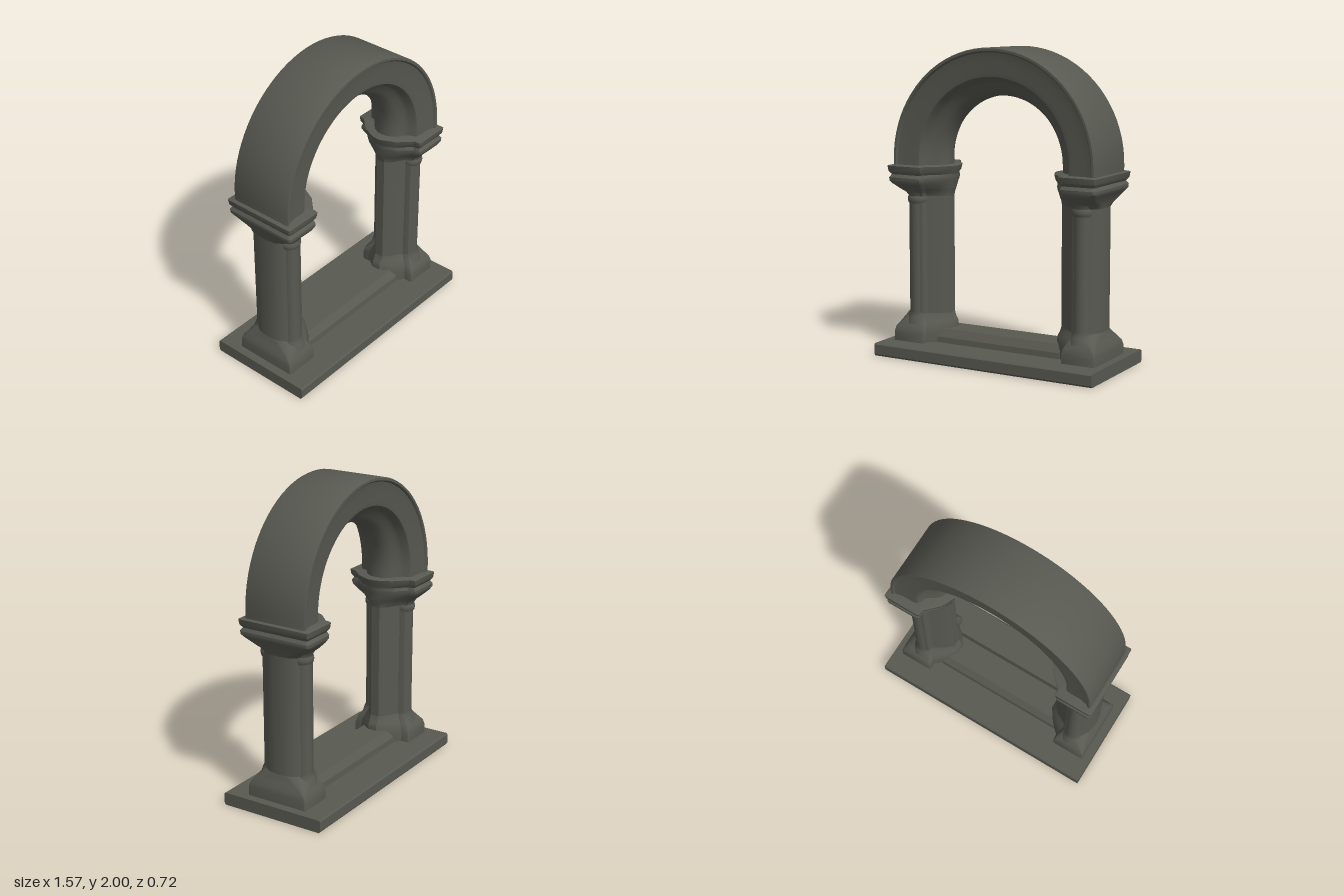
import * as THREE from 'three';
import { toCreasedNormals } from 'three/addons/utils/BufferGeometryUtils.js';

const stone = new THREE.MeshStandardMaterial({ color: 0x585951 });
stone.name = 'dark stone';

// Skin a stack of closed rings; each ring mirrors a half outline in z
function loft(rings, crease, capped) {
  const pos = [];
  const tri = (...p) => p.forEach((v) => pos.push(v.x, v.y, v.z));
  const n = rings[0].length;
  for (let i = 0; i < rings.length - 1; i++) {
    for (let j = 0; j < n; j++) {
      const k = (j + 1) % n;
      const a = rings[i][j], b = rings[i][k], c = rings[i + 1][j], d = rings[i + 1][k];
      tri(a, c, b);
      tri(b, c, d);
    }
  }
  if (capped) {
    const top = rings[rings.length - 1];
    for (let j = 0; j < n / 2 - 1; j++) {
      const p = top[j], q = top[j + 1], p2 = top[n - 1 - j], q2 = top[n - 2 - j];
      tri(p2, q2, p);
      tri(p, q2, q);
    }
  }
  const g = new THREE.BufferGeometry();
  g.setAttribute('position', new THREE.Float32BufferAttribute(pos, 3));
  return toCreasedNormals(g, crease);
}

const mirrorZ = (half) => [...half, ...half.slice().reverse().map(([x, z]) => [x, -z])];

// Pier plan: outer x, step x, inner x, wide z, z where the pointed jamb starts, corner rounding
function pierRing([y, xo, xm, xi, zw, zn, c]) {
  const half = [[xo, zw - c]];
  for (const t of [0.25, 0.5, 0.75, 1]) {
    const a = t * Math.PI / 2;
    half.push([xo - c + c * Math.cos(a), zw - c + c * Math.sin(a)]);
  }
  const k = Math.min(c, 0.035);
  half.push([xm + k, zw], [xm + 0.3 * k, zw - 0.3 * k], [xm, zw - k]);
  half.push([xm - 0.002, zn], [xi + 0.35 * (xm - xi), zn * 0.6], [xi, 0.03]);
  return mirrorZ(half).map(([x, z]) => new THREE.Vector3(x, y, z));
}

function mesh(name, geometry) {
  const m = new THREE.Mesh(geometry, stone);
  m.name = name;
  return m;
}

function createPier(name) {
  const pier = new THREE.Group();
  pier.name = name;

  // Plinth flaring in to the shaft
  pier.add(mesh('pierBase', loft([
    [0.08, 0.73, 0.50, 0.38, 0.215, 0.16, 0.01],
    [0.14, 0.73, 0.50, 0.38, 0.213, 0.16, 0.01],
    [0.175, 0.725, 0.505, 0.38, 0.205, 0.155, 0.02],
    [0.21, 0.71, 0.515, 0.385, 0.185, 0.14, 0.05],
    [0.235, 0.705, 0.525, 0.40, 0.175, 0.125, 0.09],
    [0.265, 0.70, 0.53, 0.41, 0.16, 0.115, 0.13],
  ].map(pierRing), 0.6, true)));

  // Shaft with broadly rounded outer corners and a pointed inner jamb
  pier.add(mesh('shaft', loft([
    [0.24, 0.70, 0.53, 0.41, 0.16, 0.115, 0.13],
    [1.08, 0.70, 0.53, 0.41, 0.16, 0.115, 0.13],
  ].map(pierRing), 0.6, false)));

  // Moulded capital
  pier.add(mesh('capital', loft([
    [1.035, 0.70, 0.53, 0.41, 0.16, 0.115, 0.13],
    [1.06, 0.705, 0.53, 0.405, 0.175, 0.13, 0.11],
    [1.085, 0.71, 0.52, 0.395, 0.205, 0.155, 0.07],
    [1.12, 0.725, 0.505, 0.39, 0.238, 0.185, 0.03],
    [1.14, 0.738, 0.50, 0.385, 0.248, 0.195, 0.02],
    [1.16, 0.738, 0.50, 0.38, 0.248, 0.2, 0.015],
    [1.18, 0.725, 0.505, 0.38, 0.234, 0.19, 0.015],
    [1.20, 0.74, 0.495, 0.37, 0.248, 0.205, 0.01],
    [1.235, 0.745, 0.49, 0.36, 0.252, 0.21, 0.01],
    [1.24, 0.735, 0.495, 0.37, 0.243, 0.2, 0.01],
  ].map(pierRing), 0.6, true)));

  // Engaged colonettes on both faces, with a small neck ring and bell
  const profile = [
    [0.085, 0.2], [0.07, 0.25], [0.057, 0.28], [0.057, 0.985], [0.065, 0.995], [0.07, 1.015],
    [0.066, 1.035], [0.06, 1.04], [0.078, 1.07], [0.1, 1.1],
  ].map(([r, y]) => new THREE.Vector2(r, y));
  for (const s of [1, -1]) {
    const col = mesh('colonette', new THREE.LatheGeometry(profile, 20));
    col.position.set(0.595, 0, s * 0.113);
    pier.add(col);
  }
  return pier;
}

// Arch section, lipped outside and tapering to a ridge inside, swept up, around and down
function createArch() {
  const section = mirrorZ([
    [0.72, 0.205], [0.715, 0.215], [0.70, 0.215], [0.69, 0.203], [0.64, 0.193], [0.57, 0.193],
    [0.54, 0.188], [0.53, 0.175], [0.52, 0.145], [0.50, 0.12], [0.465, 0.1], [0.435, 0.07], [0.417, 0.03],
  ]);
  const rings = [];
  const steps = 40, centreY = 1.28;
  const ring = (a, drop) => section.map(([r, z]) =>
    new THREE.Vector3(r * Math.cos(a), centreY - drop + r * Math.sin(a), z));
  rings.push(ring(0, 0.07));
  for (let i = 0; i <= steps; i++) rings.push(ring(Math.PI * i / steps, 0));
  rings.push(ring(Math.PI, 0.07));
  return mesh('arch', loft(rings, 0.6, false));
}

// Extrude a z-y profile along x, centred
function bar(name, outline, length) {
  const shape = new THREE.Shape(outline.map(([z, y]) => new THREE.Vector2(z, y)));
  const g = new THREE.ExtrudeGeometry(shape, { depth: length, bevelEnabled: false });
  g.translate(0, 0, -length / 2);
  g.rotateY(Math.PI / 2);
  return mesh(name, g);
}

export function createModel() {
  const model = new THREE.Group();
  model.name = 'stoneArchway';

  // Ground slab with slightly eased edges
  model.add(bar('slab', [
    [-0.35, 0], [0.35, 0], [0.36, 0.012], [0.36, 0.075], [0.352, 0.083],
    [-0.352, 0.083], [-0.36, 0.075], [-0.36, 0.012],
  ], 1.57));

  // Tapered sill between the piers
  model.add(bar('sill', [
    [-0.13, 0.07], [0.13, 0.07], [0.125, 0.12], [0.09, 0.17], [-0.09, 0.17], [-0.125, 0.12],
  ], 0.9));

  const left = createPier('leftPier');
  const right = createPier('rightPier');
  right.rotation.y = Math.PI;
  model.add(left, right, createArch());
  return model;
}
